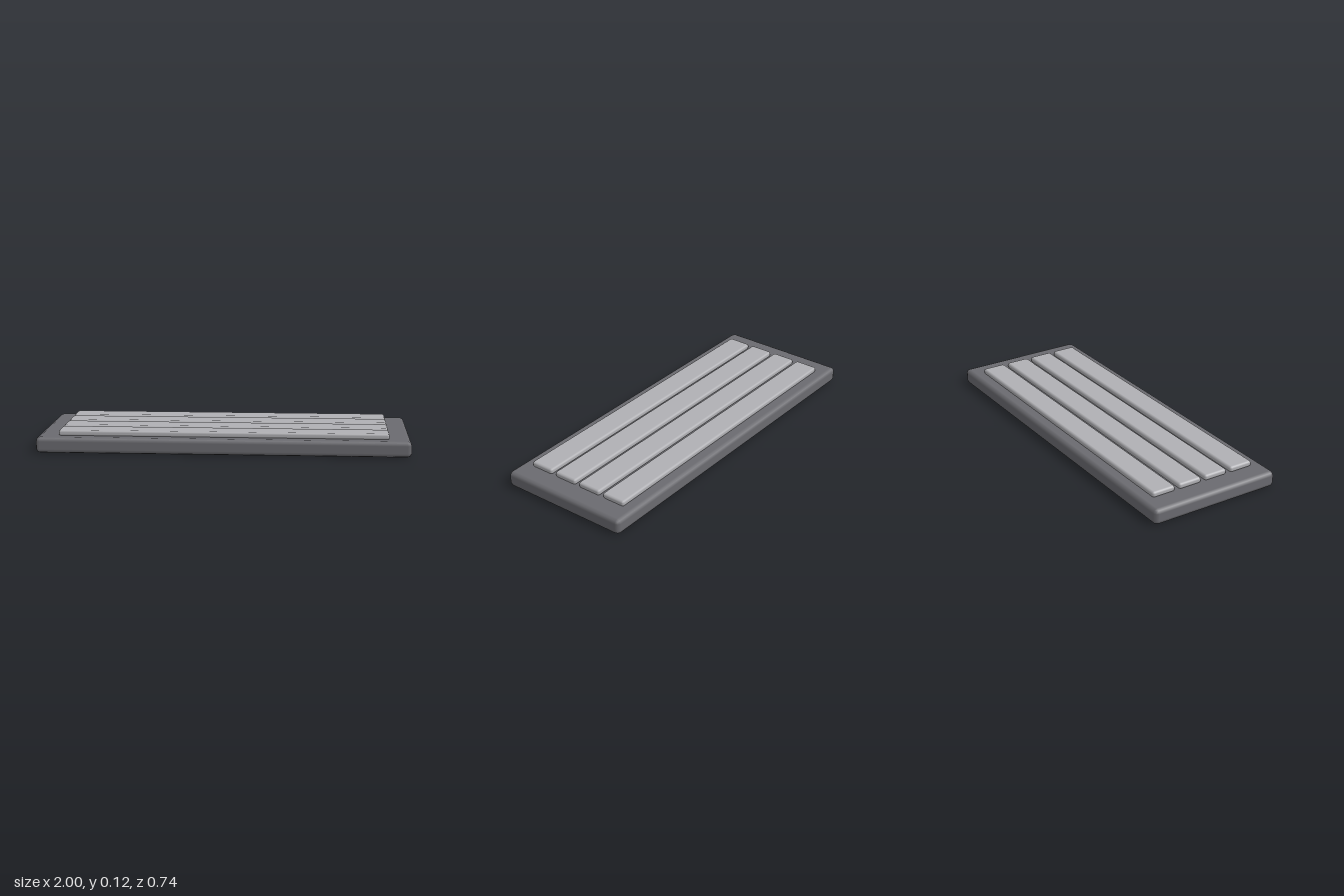
import * as THREE from 'three';
import { RoundedBoxGeometry } from 'three/addons/geometries/RoundedBoxGeometry.js';

export function createModel() {
  const model = new THREE.Group();
  model.name = 'keyboard';

  const caseMaterial = new THREE.MeshStandardMaterial({ color: 0x6b6b70 });
  const keyMaterial = new THREE.MeshStandardMaterial({ color: 0xb0b0b4 });

  // Rounded slab whose underside sits at height y
  function slab(name, width, height, depth, radius, material, y, z) {
    const mesh = new THREE.Mesh(new RoundedBoxGeometry(width, height, depth, 1, radius), material);
    mesh.name = name;
    mesh.position.set(0, y + height / 2, z);
    model.add(mesh);
  }

  // Case
  slab('case', 2, 0.086, 0.742, 0.023, caseMaterial, 0, 0);

  // Four rows of keys, evenly spaced from back to front
  const rowSpacing = 0.16;
  for (let i = 0; i < 4; i++) {
    slab(`keyRow${i + 1}`, 1.77, 0.032, 0.135, 0.012, keyMaterial, 0.083, (i - 1.5) * rowSpacing);
  }

  return model;
}
